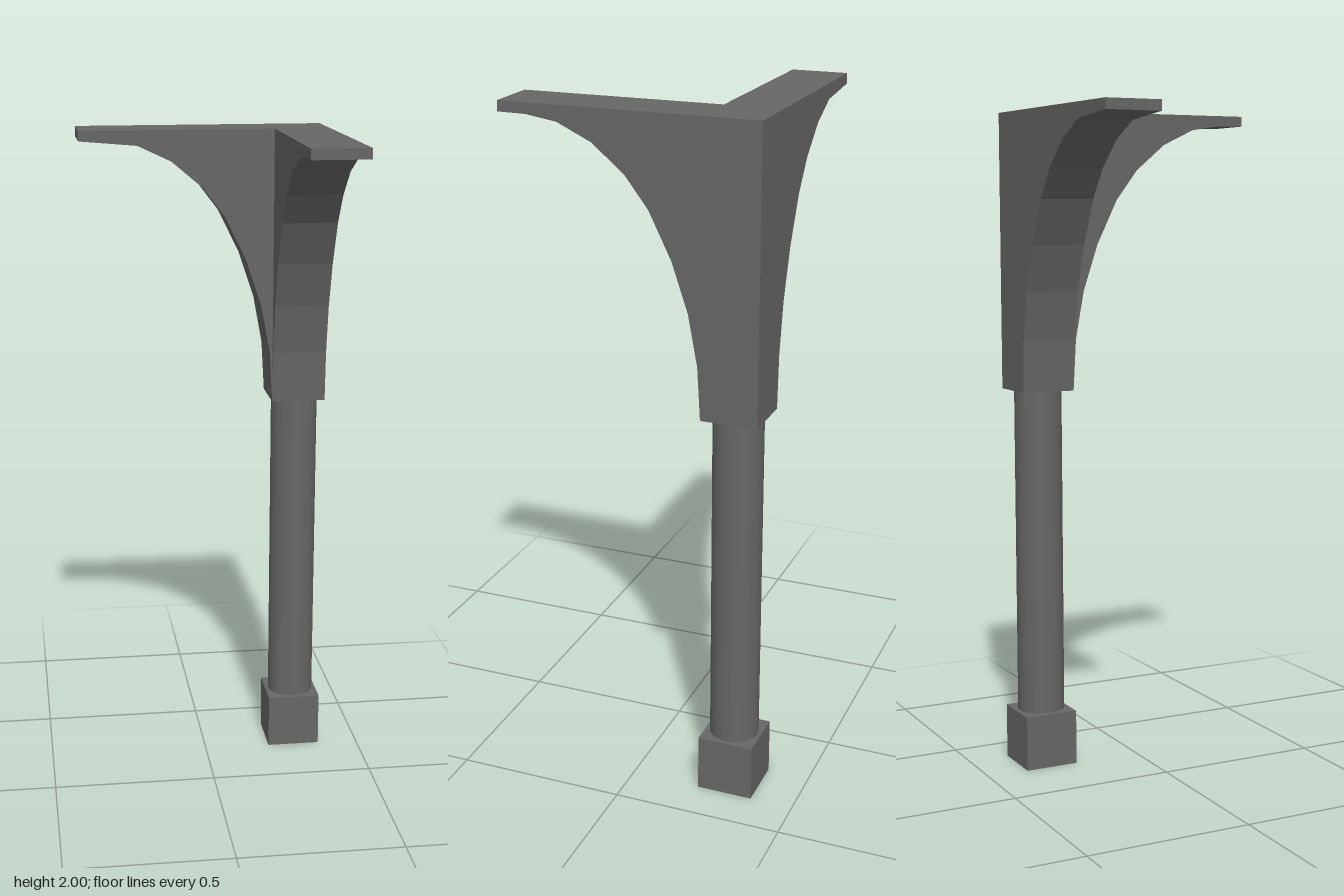
import * as THREE from 'three';

export function createModel() {
  const model = new THREE.Group();
  const stone = new THREE.MeshStandardMaterial({ color: 0x666666 });
  stone.name = 'dark grey stone';

  const half = 0.373;         // outer edge of the plan
  const inner = 0.208;        // inner edge of the arms
  const width = half - inner; // thickness of arms, pier and plinth
  const centre = (half + inner) / 2;

  function add(name, geometry, x, y, z) {
    const mesh = new THREE.Mesh(geometry, stone);
    mesh.name = name;
    mesh.position.set(x, y, z);
    model.add(mesh);
    return mesh;
  }

  // Faceted underside of an arch, from its tip down to the springing
  const curve = [[-0.2, 1.955], [-0.1, 1.908], [-0.007, 1.83], [0.06, 1.742],
    [0.125, 1.61], [0.172, 1.47], [0.199, 1.325], [inner, 1.17]];

  // Half arch: tip at -x, running back to the given end
  function archGeometry(end, tip) {
    const points = [[end, 2], [-half, 2], ...tip, ...curve];
    if (end > inner) points.push([end, 1.17]);
    const shape = new THREE.Shape(points.map(([x, y]) => new THREE.Vector2(x, y)));
    return new THREE.ExtrudeGeometry(shape, { depth: width, bevelEnabled: false });
  }

  // Back arm includes the corner pier; side arm butts against it
  add('backArch', archGeometry(half, [[-half, 1.97]]), 0, 0, -half);
  const side = add('sideArch', archGeometry(inner, [[-half, 1.97], [-0.29, 1.969]]), inner, 0, 0);
  side.rotation.y = Math.PI / 2;

  // Round column on a square plinth
  add('column', new THREE.CylinderGeometry(0.072, 0.072, 1, 32), centre, 0.67, -centre);
  add('plinth', new THREE.BoxGeometry(width, 0.168, width), centre, 0.084, -centre);

  return model;
}
